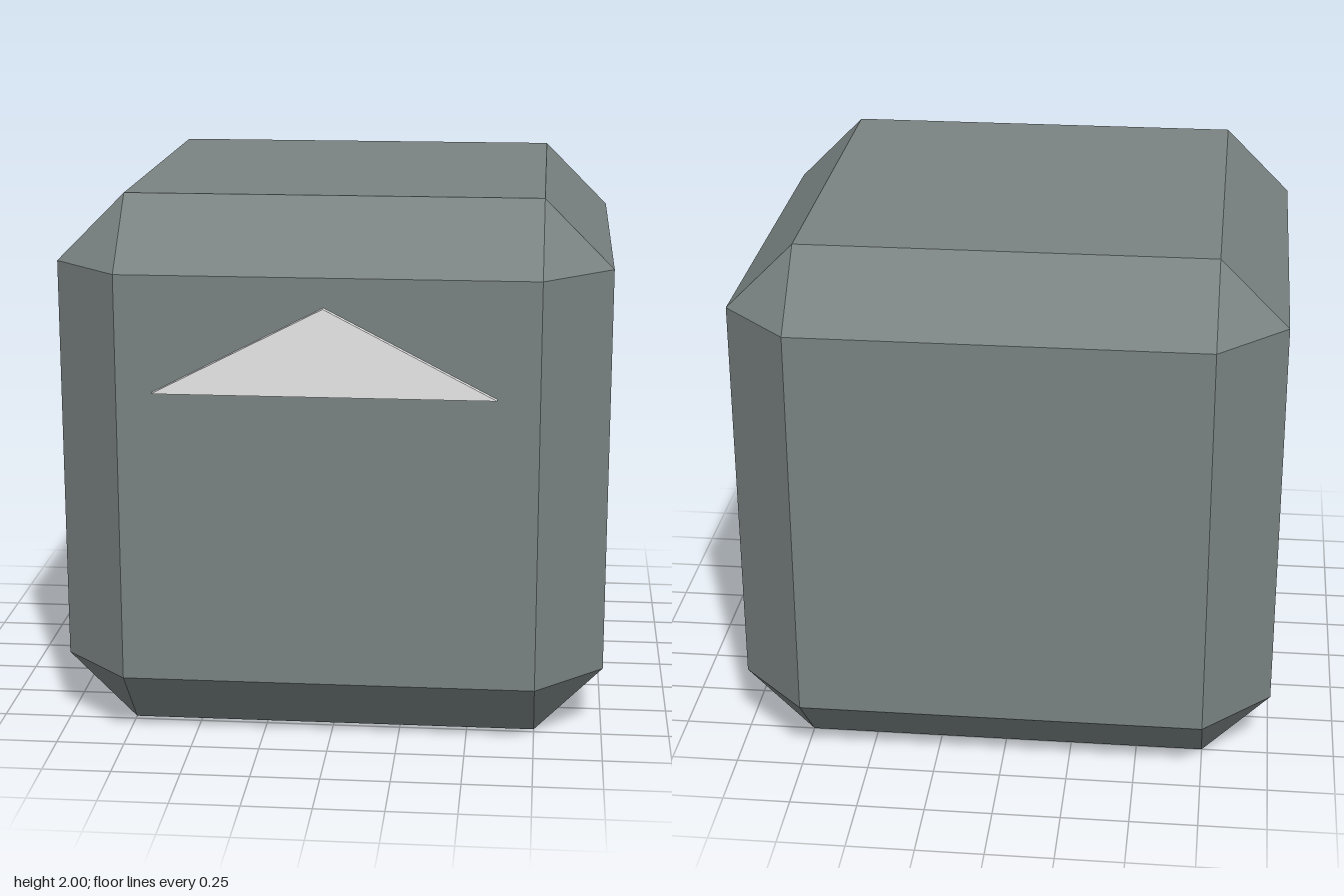
import * as THREE from 'three';
import { ConvexGeometry } from 'three/addons/geometries/ConvexGeometry.js';

// Box with flat chamfers on every edge and corner
function chamferedBox(hx, hy, hz, c) {
  const points = [];
  for (const sx of [-1, 1]) for (const sy of [-1, 1]) for (const sz of [-1, 1]) {
    points.push(
      new THREE.Vector3(sx * hx, sy * (hy - c), sz * (hz - c)),
      new THREE.Vector3(sx * (hx - c), sy * hy, sz * (hz - c)),
      new THREE.Vector3(sx * (hx - c), sy * (hy - c), sz * hz)
    );
  }
  return new ConvexGeometry(points);
}

export function createModel() {
  const model = new THREE.Group();
  model.name = 'chamferedBlock';

  const stone = new THREE.MeshStandardMaterial({ color: 0x7a8282 });
  stone.name = 'slate grey';
  const white = new THREE.MeshStandardMaterial({ color: 0xffffff });
  white.name = 'white';

  // Main block, set back slightly to leave room for the front plate
  const body = new THREE.Mesh(chamferedBox(1, 1, 0.9875, 0.25), stone);
  body.name = 'body';
  body.position.set(0, 1, -0.0125);
  model.add(body);

  // Raised triangular plate on the front
  const outline = new THREE.Shape([
    new THREE.Vector2(-0.62, 1.33),
    new THREE.Vector2(0.6, 1.33),
    new THREE.Vector2(-0.01, 1.645)
  ]);
  const plate = new THREE.Mesh(
    new THREE.ExtrudeGeometry(outline, { depth: 0.03, bevelEnabled: false }), white);
  plate.name = 'frontTriangle';
  plate.position.z = 0.97;
  model.add(plate);

  return model;
}
